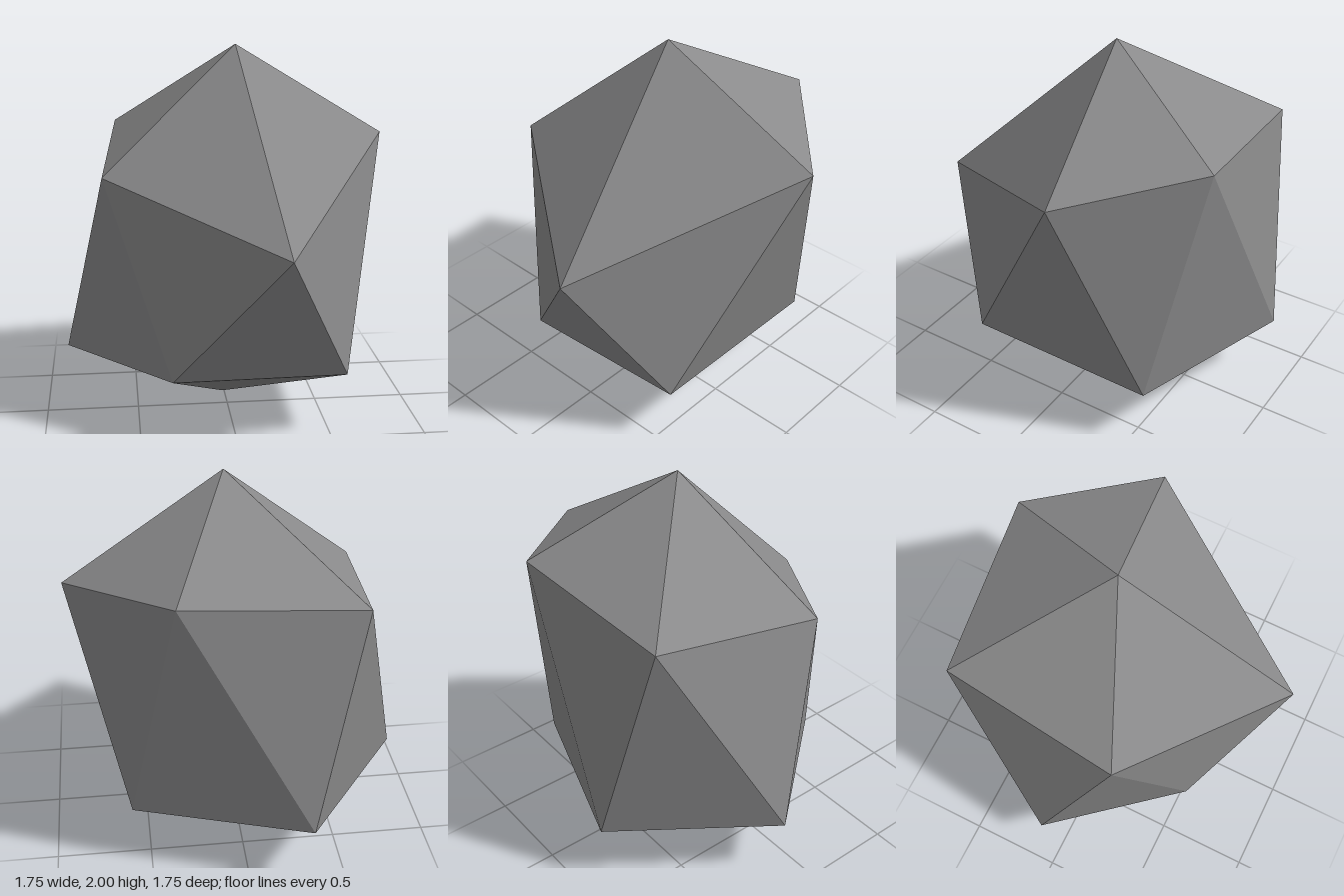
import * as THREE from 'three';

// Irregular faceted boulder: a distorted icosahedron of two staggered rings and two tips
export function createModel() {
  const group = new THREE.Group();
  group.name = 'boulder';
  const stone = new THREE.MeshStandardMaterial({ color: 0x8a8a8b, flatShading: true });
  stone.name = 'stone grey';

  const top = [0.05, 2.0, -0.07];
  const bottom = [-0.01, 0, -0.17];
  // Both rings run counter-clockwise seen from above, starting at the front
  const upper = [[0.22, 1.08, 0.875], [0.875, 1.495, -0.21], [0.35, 1.61, -0.79], [-0.585, 1.505, -0.7], [-0.665, 1.365, 0.245]];
  const lower = [[0.58, 0.34, 0.475], [0.59, 0.34, -0.58], [-0.32, 0.34, -0.88], [-0.88, 0.34, -0.11], [-0.335, 0.365, 0.55]];

  // Cap, side band and base facets
  const corners = [];
  for (let i = 0; i < 5; i++) {
    const j = (i + 1) % 5;
    corners.push(top, upper[i], upper[j]);
    corners.push(upper[i], lower[i], upper[j]);
    corners.push(lower[i], lower[j], upper[j]);
    corners.push(bottom, lower[j], lower[i]);
  }
  const geometry = new THREE.BufferGeometry();
  geometry.setAttribute('position', new THREE.Float32BufferAttribute(corners.flat(), 3));
  geometry.computeVertexNormals();

  const rock = new THREE.Mesh(geometry, stone);
  rock.name = 'rock';
  group.add(rock);
  return group;
}
